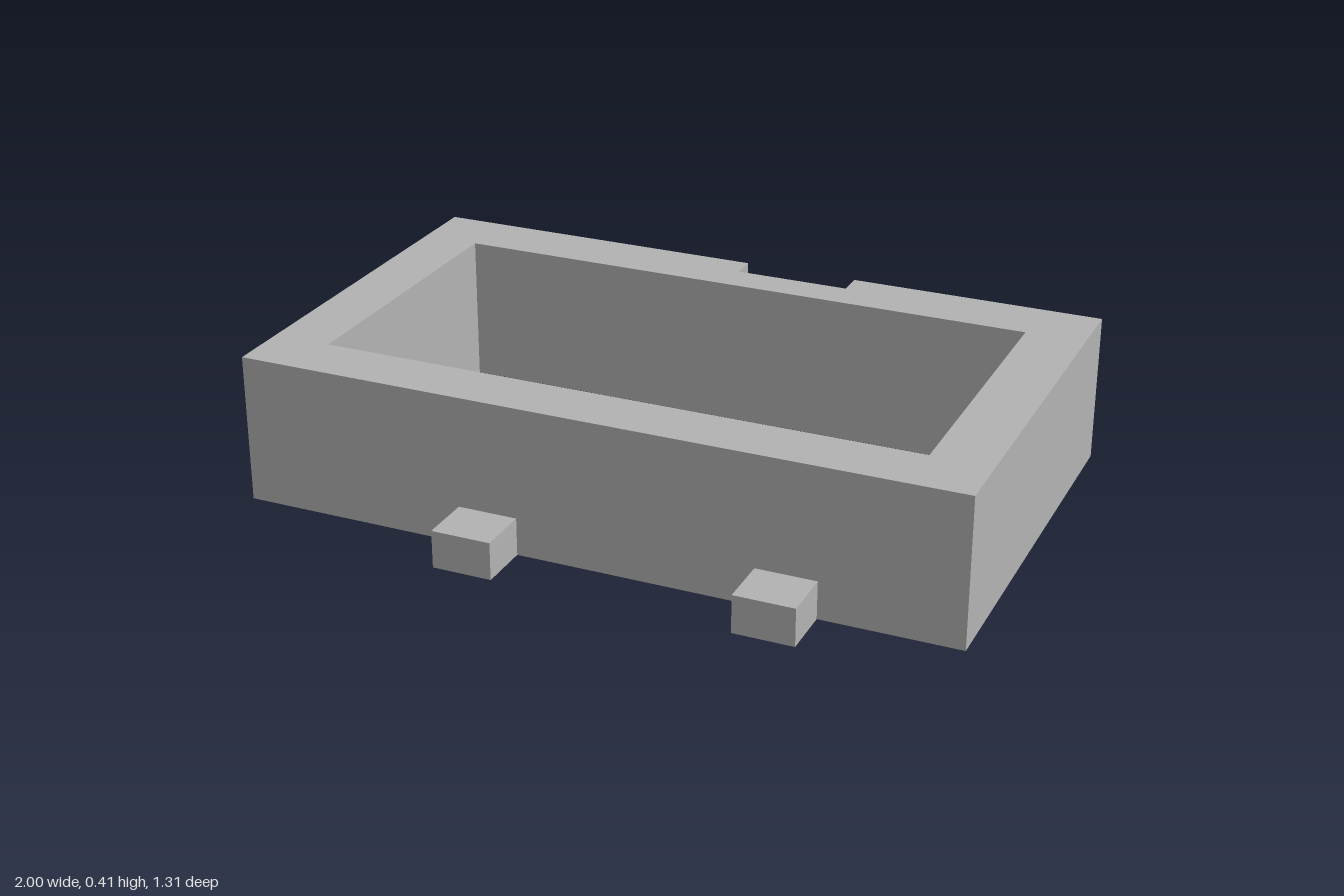
import * as THREE from 'three';

const HEIGHT = 0.415;
const FRONT = 0.51;
const BACK = -0.657;

// Turns [x, z] plan points into 2D points that lie flat after the extrusion is tipped over
const plan = (points) => points.map(([x, z]) => new THREE.Vector2(x, -z));

export function createModel() {
  const model = new THREE.Group();
  const grey = new THREE.MeshStandardMaterial({ color: 0xb3b3b3 });
  grey.name = 'grey';

  // Rectangular frame with a notch in the back wall
  const outline = new THREE.Shape(plan([
    [-1, FRONT], [1, FRONT], [1, BACK],
    [0.285, BACK], [0.285, -0.585], [-0.04, -0.585], [-0.04, BACK],
    [-1, BACK],
  ]));
  outline.holes.push(new THREE.Path(plan([
    [-0.837, 0.345], [-0.837, -0.482], [0.835, -0.482], [0.835, 0.345],
  ])));
  const frameGeometry = new THREE.ExtrudeGeometry(outline, { depth: HEIGHT, bevelEnabled: false });
  frameGeometry.rotateX(-Math.PI / 2);
  const frame = new THREE.Mesh(frameGeometry, grey);
  frame.name = 'frame';
  model.add(frame);

  // Two small tabs at the foot of the front wall
  const tabDepth = 0.147;
  const tabGeometry = new THREE.BoxGeometry(0.166, 0.105, tabDepth);
  for (const [name, x] of [['rightTab', -0.285], ['leftTab', 0.537]]) {
    const tab = new THREE.Mesh(tabGeometry, grey);
    tab.name = name;
    tab.position.set(x, 0.0525, FRONT + tabDepth / 2);
    model.add(tab);
  }

  return model;
}
